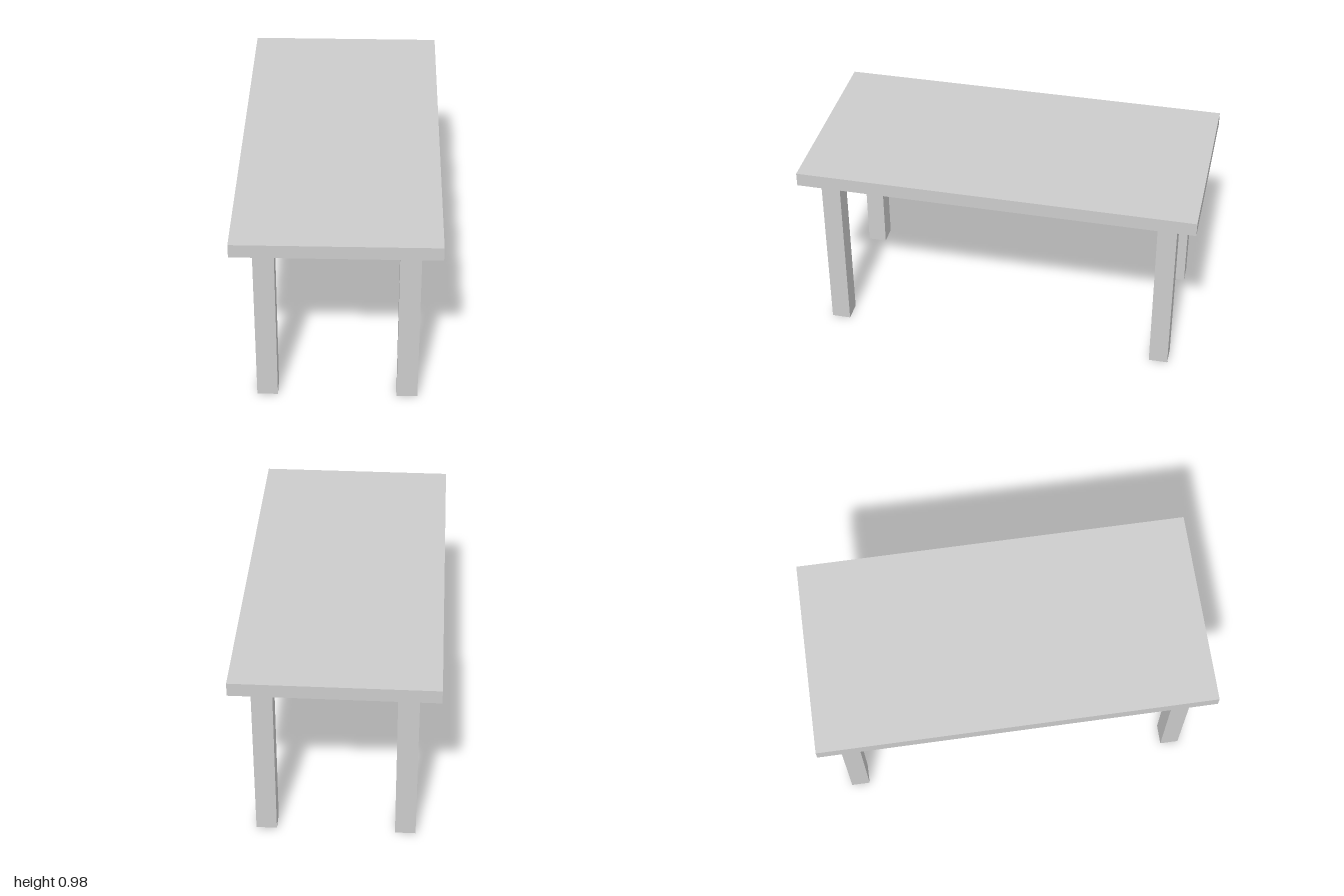
import * as THREE from 'three';

export function createModel() {
  const table = new THREE.Group();
  table.name = 'table';
  const material = new THREE.MeshStandardMaterial({ color: 0xcccccc, flatShading: true });

  const topHeight = 0.98, topThickness = 0.07;
  const legHeight = topHeight - topThickness;

  function addBox(name, width, height, depth, x, y, z) {
    const mesh = new THREE.Mesh(new THREE.BoxGeometry(width, height, depth), material);
    mesh.name = name;
    mesh.position.set(x, y, z);
    table.add(mesh);
  }

  // Flat slab top
  addBox('tabletop', 1, topThickness, 2, 0, topHeight - topThickness / 2, 0);

  // Four square legs, set in from the corners
  const rows = [['front', 0.862], ['back', -0.852]];
  const columns = [['Left', 0.351], ['Right', -0.346]];
  for (const [row, z] of rows) {
    for (const [column, x] of columns) {
      addBox(`${row}${column}Leg`, 0.103, legHeight, 0.096, x, legHeight / 2, z);
    }
  }

  return table;
}
